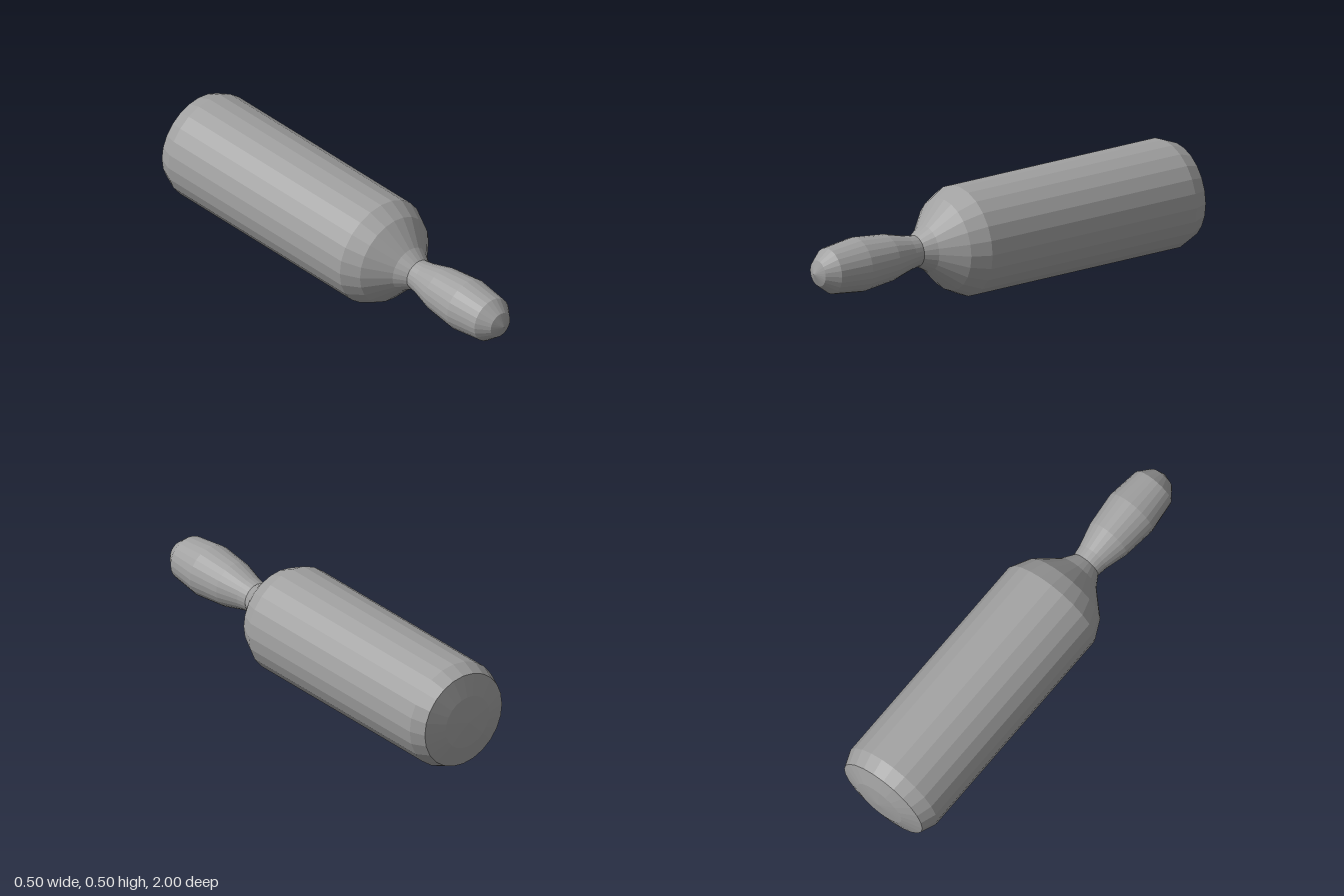
import * as THREE from 'three';

const SIDES = 24;

// Faceted solid of revolution along z; profile is [radius, z] from back to front
function turned(name, profile, material) {
  const points = profile.map(([r, z]) => new THREE.Vector2(r, z));
  const geometry = new THREE.LatheGeometry(points, SIDES).rotateX(Math.PI / 2).toNonIndexed();
  geometry.computeVertexNormals();
  const mesh = new THREE.Mesh(geometry, material);
  mesh.name = name;
  mesh.position.y = 0.25;
  return mesh;
}

export function createModel() {
  const grey = new THREE.MeshStandardMaterial({ color: 0xa0a0a0 });
  grey.name = 'plain grey';

  const group = new THREE.Group();
  group.name = 'club';
  group.add(
    // Slightly domed striking end
    turned('endCap', [[0, -1], [0.125, -0.99], [0.222, -0.963]], grey),
    // Heavy cylinder with chamfered back and tapered shoulder
    turned('body', [
      [0.222, -0.963], [0.25, -0.893], [0.25, 0.21],
      [0.208, 0.295], [0.105, 0.395], [0.07, 0.45],
    ], grey),
    // Swelling grip with rounded tip
    turned('handle', [
      [0.07, 0.45], [0.077, 0.497], [0.106, 0.605], [0.123, 0.765],
      [0.104, 0.92], [0.059, 0.977], [0, 1],
    ], grey),
  );
  return group;
}
